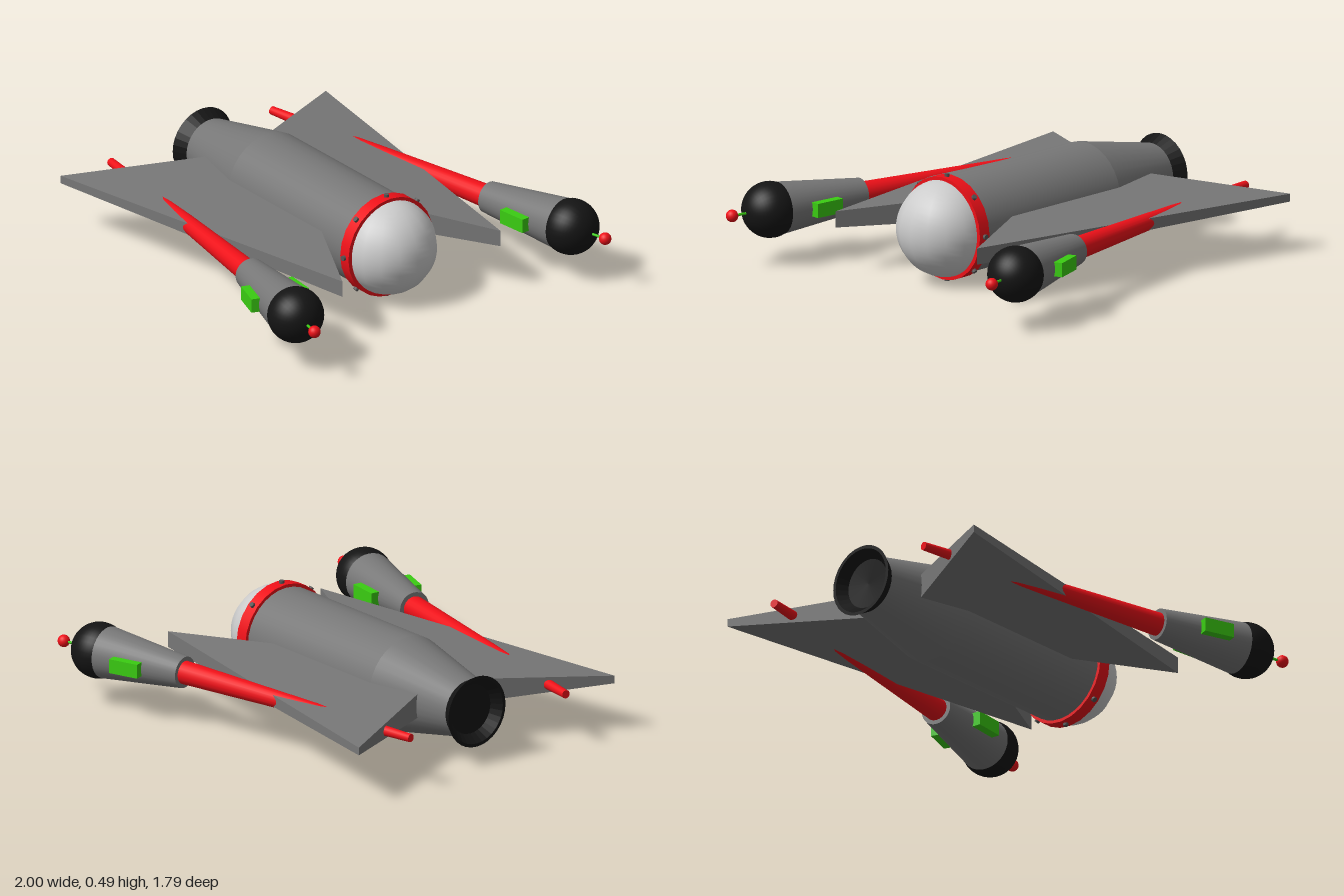
import * as THREE from 'three';

const mat = (color) => new THREE.MeshStandardMaterial({ color });
const grey = mat(0x777777), light = mat(0xcccccc), red = mat(0xee1018);
const black = mat(0x141414), green = mat(0x3acc12), steel = mat(0x555555);

function add(parent, name, geometry, material) {
  const mesh = new THREE.Mesh(geometry, material);
  mesh.name = name;
  parent.add(mesh);
  return mesh;
}

// Capped cylinder or cone along x, from x0 (radius r0) to x1 (radius r1)
function tube(x0, r0, x1, r1, sides = 32, open = false) {
  return new THREE.CylinderGeometry(r1, r0, x1 - x0, sides, 1, open)
    .rotateZ(-Math.PI / 2).translate((x0 + x1) / 2, 0, 0);
}

// Swept wing plate that gets thinner towards its outer edge
function wingGeometry() {
  const tipZ = 0.738;
  const outline = [[-0.987, tipZ], [-0.64, 0.045], [-0.1, 0.045], [0.687, 0.44]];
  const shape = new THREE.Shape(outline.map(([x, z]) => new THREE.Vector2(x, z)));
  const geo = new THREE.ExtrudeGeometry(shape, { depth: 1, bevelEnabled: false });
  geo.rotateX(Math.PI / 2).translate(0, 0.5, 0);
  const p = geo.attributes.position;
  for (let i = 0; i < p.count; i++) {
    const half = 0.018 + 0.065 * (tipZ - p.getZ(i));
    p.setY(i, p.getY(i) * 2 * half);
  }
  geo.computeVertexNormals();
  return geo;
}

// Engine pod along its own x axis, origin at the rear
function makePod() {
  const pod = new THREE.Group();
  pod.name = 'pod';
  add(pod, 'podBody', tube(0, 0.072, 0.432, 0.118), grey);
  const r = 0.127;
  const cap = new THREE.SphereGeometry(r, 32, 16, 0, Math.PI * 2, 0, Math.acos(-0.047 / r));
  add(pod, 'podNose', cap.rotateZ(-Math.PI / 2).translate(0.479, 0, 0), black);
  add(pod, 'antenna', tube(0.59, 0.006, 0.67, 0.006, 10), green);
  add(pod, 'antennaBall', new THREE.SphereGeometry(0.028, 20, 14).translate(0.678, 0, 0), red);
  for (const s of [1, -1]) {
    const light = add(pod, 'podLight', new THREE.BoxGeometry(0.145, 0.065, 0.05), green);
    light.position.set(0.247, 0, s * 0.108);
    light.rotation.y = -s * 0.11;
  }
  return pod;
}

// Wing, boom and pod of one side
function makeSide(name) {
  const side = new THREE.Group();
  side.name = name;
  add(side, 'wing', wingGeometry(), grey);

  const slope = Math.atan(0.165);
  const boom = add(side, 'boom', tube(-1.322, 0.019, 0.03, 0.054, 20), red);
  boom.position.set(0.305, 0, 0.663);
  boom.rotation.y = -slope;

  const pod = makePod();
  pod.position.set(0.305, 0, 0.663);
  pod.rotation.y = -Math.atan(0.22);
  side.add(pod);
  return side;
}

export function createModel() {
  const model = new THREE.Group();
  model.name = 'rocketShip';
  const ship = new THREE.Group();
  ship.name = 'ship';
  ship.position.y = 0.246;
  model.add(ship);

  // Fuselage
  add(ship, 'tailCone', tube(-0.865, 0.132, -0.44, 0.22), grey);
  add(ship, 'fuselage', tube(-0.44, 0.22, 0.42, 0.22), grey);
  add(ship, 'noseDome', new THREE.SphereGeometry(0.22, 16, 24).translate(0.44, 0, 0), light);

  // Flared nozzle with a recessed inside
  const nozzle = [[0.132, -0.86], [0.165, -0.92], [0.15, -0.92], [0.115, -0.875], [0, -0.87]];
  const nozzleMat = mat(0x141414);
  nozzleMat.side = THREE.DoubleSide;
  nozzleMat.flatShading = true;
  const lathe = new THREE.LatheGeometry(nozzle.map(([r, x]) => new THREE.Vector2(r, x)), 32);
  add(ship, 'nozzle', lathe.rotateZ(-Math.PI / 2), nozzleMat);

  // Nose ring with bolts
  add(ship, 'noseRing', tube(0.4, 0.235, 0.46, 0.235, 24), red);
  for (let i = 0; i < 8; i++) {
    const bolt = add(ship, 'ringBolt',
      new THREE.CylinderGeometry(0.012, 0.012, 0.03, 12).translate(0.43, 0.231, 0), steel);
    bolt.rotation.x = i * Math.PI / 4;
  }

  // Both sides; the second is turned half round the long axis
  ship.add(makeSide('frontSide'));
  const back = makeSide('backSide');
  back.rotation.x = Math.PI;
  ship.add(back);
  return model;
}
